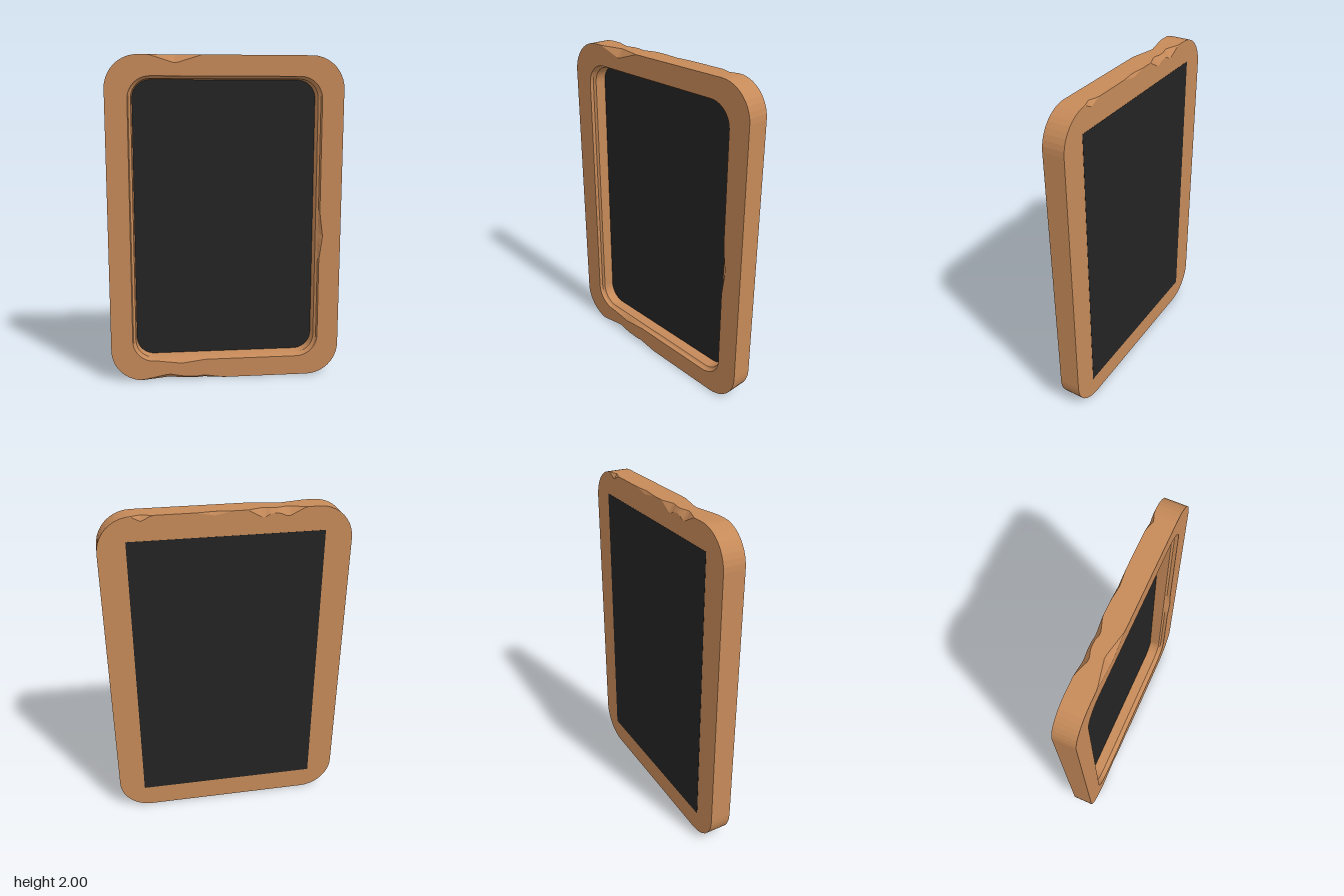
import * as THREE from 'three';

const MID = 1, CORNER = 10, EDGE = 44, FRONT = 0.065, BACK = -0.065;

// Rounded rectangle as a loop of points, anticlockwise from the front
function ring(hw, hh, r, z) {
  const corners = [[1, 1], [-1, 1], [-1, -1], [1, -1]].map(([sx, sy], q) => {
    const arc = [];
    for (let i = 0; i <= CORNER; i++) {
      const a = (q + i / CORNER) * Math.PI / 2;
      arc.push(new THREE.Vector3(sx * (hw - r) + r * Math.cos(a), MID + sy * (hh - r) + r * Math.sin(a), z));
    }
    return arc;
  });
  const points = [];
  corners.forEach((arc, q) => {
    points.push(...arc);
    const next = corners[(q + 1) % 4][0];
    for (let i = 1; i < EDGE; i++) points.push(arc[CORNER].clone().lerp(next, i / EDGE));
  });
  return points;
}

// Knock a triangular chip out of a top (side 1) or bottom (side -1) edge
function chip(faceRing, wallRing, side, x, halfWidth, inset, depth) {
  const weight = p => (p.y - MID) * side > 0.75 ? Math.max(0, 1 - Math.abs(p.x - x) / halfWidth) : 0;
  for (const p of faceRing) p.y -= side * inset * weight(p);
  for (const p of wallRing) p.z -= Math.sign(p.z) * depth * weight(p);
}

// Join the loops into one closed, faceted skin
function skin(rings) {
  const pos = [], n = rings[0].length;
  rings.forEach((loop, k) => {
    const next = rings[(k + 1) % rings.length];
    for (let i = 0; i < n; i++) {
      const j = (i + 1) % n;
      for (const p of [loop[i], loop[j], next[j], loop[i], next[j], next[i]]) pos.push(p.x, p.y, p.z);
    }
  });
  const g = new THREE.BufferGeometry();
  g.setAttribute('position', new THREE.Float32BufferAttribute(pos, 3));
  g.computeVertexNormals();
  return g;
}

export function createModel() {
  const wood = new THREE.MeshStandardMaterial({ color: 0xc68a59, flatShading: true });
  wood.name = 'warm wood';
  const dark = new THREE.MeshStandardMaterial({ color: 0x242424 });
  dark.name = 'dark panel';

  const outer = z => ring(0.718, 1, 0.2, z);
  const backFace = outer(BACK), backWall = outer(BACK);
  const frontWall = outer(FRONT), frontFace = outer(FRONT);
  const lip = ring(0.585, 0.877, 0.135, FRONT);

  // Worn edges
  chip(frontFace, frontWall, 1, -0.3, 0.16, 0.05, 0.034);
  chip(frontFace, frontWall, -1, -0.36, 0.18, 0.035, 0.045);
  chip(frontFace, frontWall, -1, -0.14, 0.13, 0.02, 0.025);
  chip(backFace, backWall, 1, -0.34, 0.1, 0.05, 0.035);
  chip(backFace, backWall, 1, -0.2, 0.09, 0.05, 0.03);
  chip(backFace, backWall, 1, 0.07, 0.1, 0.02, 0.01);
  chip(backFace, backWall, 1, 0.47, 0.06, 0.03, 0.02);

  // Worn spots on the inner lip
  for (const p of lip) {
    if (p.x > 0.55) p.x += 0.02 * Math.max(0, 1 - Math.abs(p.y - 0.9) / 0.15);
    if (p.y < 0.16) p.y -= 0.02 * Math.max(0, 1 - Math.abs(p.x + 0.28) / 0.15);
  }

  const frame = new THREE.Mesh(skin([
    ring(0.56, 0.86, 0.002, BACK), backFace, backWall, frontWall, frontFace, lip,
    ring(0.58, 0.872, 0.13, 0.045), // stepped rebate
    ring(0.565, 0.862, 0.115, 0.035),
    ring(0.56, 0.858, 0.11, -0.03),
    ring(0.56, 0.86, 0.002, -0.03),
  ]), wood);
  frame.name = 'frame';

  // Panel set in the back of the frame
  const panel = new THREE.Mesh(new THREE.BoxGeometry(1.12, 1.72, 0.035), dark);
  panel.position.set(0, MID, -0.0485);
  panel.name = 'panel';

  const model = new THREE.Group();
  model.name = 'pictureFrame';
  model.add(frame, panel);
  return model;
}
